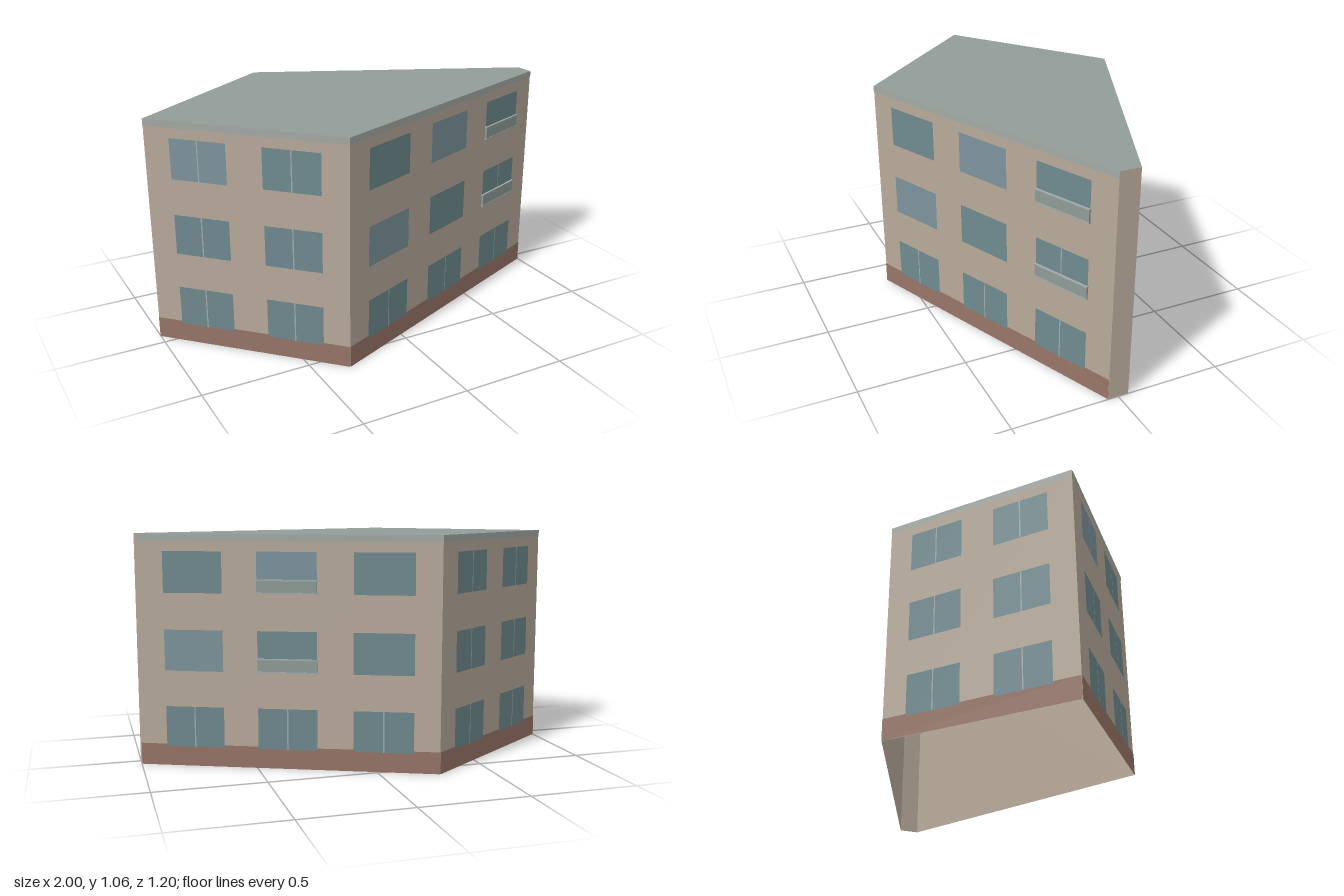
import * as THREE from 'three';

const mat = (color, side = THREE.FrontSide) => new THREE.MeshStandardMaterial({ color, side });

export function createModel() {
  const model = new THREE.Group();
  model.name = 'apartmentBlock';

  const H = 1.06;
  const wallMat = mat(0xb8aa9b, THREE.DoubleSide);
  const plinthMat = mat(0x987568);
  const corniceMat = mat(0xa3aaa5);
  const roofMat = mat(0x929c98, THREE.DoubleSide);
  const glassMat = mat(0x6f8a90);
  const paleGlassMat = mat(0x7d949c);
  const frameMat = mat(0xa3adab);
  const balconyMat = mat(0x8f9c98);

  // Plan corners as [x, z]
  const west = [-1, -0.065], south = [-0.345, 0.597], north = [-0.26, -0.603];
  const eastFront = [0.998, 0.047], eastBack = [0.998, -0.05];

  // Thin facing on a wall: centre x, bottom and top heights, offset outwards
  function panel(parent, name, material, x, width, y0, y1, offset) {
    const mesh = new THREE.Mesh(new THREE.PlaneGeometry(width, y1 - y0), material);
    mesh.name = name;
    mesh.position.set(x, (y0 + y1) / 2, offset);
    parent.add(mesh);
  }

  function block(parent, name, material, x, width, y0, y1, z0, z1) {
    const mesh = new THREE.Mesh(new THREE.BoxGeometry(width, y1 - y0, z1 - z0), material);
    mesh.name = name;
    mesh.position.set(x, (y0 + y1) / 2, (z0 + z1) / 2);
    parent.add(mesh);
  }

  // Balcony front with a pale top rail and bottom slab
  function addBalcony(parent, x, width, y) {
    const balcony = new THREE.Group();
    balcony.name = 'balcony';
    block(balcony, 'balconyPanel', balconyMat, x, width, y + 0.006, y + 0.058, 0.002, 0.011);
    block(balcony, 'balconyRail', frameMat, x, width + 0.006, y + 0.058, y + 0.064, 0.002, 0.013);
    block(balcony, 'balconySlab', frameMat, x, width + 0.006, y, y + 0.006, 0.002, 0.013);
    parent.add(balcony);
  }

  const floors = [[0.09, 0.277], [0.442, 0.63], [0.797, 0.984]];

  // Walls run left to right as seen from outside; cells are 'floor,column'
  const walls = [
    { name: 'frontWall', a: south, b: eastFront, cols: [0.184, 0.497, 0.812], width: 0.197,
      split: ['0,0', '0,1', '0,2', '1,2'], pale: ['1,0', '2,1'], balconies: ['1,2', '2,2'] },
    { name: 'frontRightWall', a: west, b: south, cols: [0.271, 0.729], width: 0.282,
      split: 'all', pale: ['2,0'], balconies: [] },
    { name: 'backRightWall', a: north, b: west, cols: [0.271, 0.729], width: 0.285,
      split: 'all', pale: [], balconies: [] },
    { name: 'backWall', a: eastBack, b: north, cols: [0.188, 0.5, 0.816], width: 0.197,
      split: ['0,0', '0,1', '0,2'], pale: ['1,0', '2,1'], balconies: ['1,1', '2,1'] },
    { name: 'endWall', a: eastFront, b: eastBack, cols: [], plain: true },
  ];

  for (const w of walls) {
    const dx = w.b[0] - w.a[0], dz = w.b[1] - w.a[1];
    const length = Math.hypot(dx, dz);
    const wall = new THREE.Group();
    wall.name = w.name;
    wall.position.set(w.a[0], 0, w.a[1]);
    wall.rotation.y = -Math.atan2(dz, dx);
    panel(wall, 'wallSurface', wallMat, length / 2, length, 0, H, 0);
    if (!w.plain) {
      panel(wall, 'plinth', plinthMat, length / 2, length, 0, 0.1, 0.002);
      panel(wall, 'cornice', corniceMat, length / 2, length, 1.03, H, 0.002);
    }

    // Grid of windows
    w.cols.forEach((c, col) => floors.forEach(([y0, y1], floor) => {
      const cell = `${floor},${col}`;
      const x = c * length, width = w.width * length;
      panel(wall, 'window', w.pale.includes(cell) ? paleGlassMat : glassMat, x, width, y0, y1, 0.004);
      if (w.split === 'all' || w.split.includes(cell)) {
        panel(wall, 'mullion', frameMat, x, 0.006, y0, y1, 0.006);
      }
      if (w.balconies.includes(cell)) addBalcony(wall, x, width, y0);
    }));
    model.add(wall);
  }

  // Flat roof over the five-cornered plan
  const outline = [west, south, eastFront, eastBack, north].map(([x, z]) => new THREE.Vector2(x, -z));
  const roof = new THREE.Mesh(new THREE.ShapeGeometry(new THREE.Shape(outline)), roofMat);
  roof.name = 'roof';
  roof.rotation.x = -Math.PI / 2;
  roof.position.y = H;
  model.add(roof);

  return model;
}
